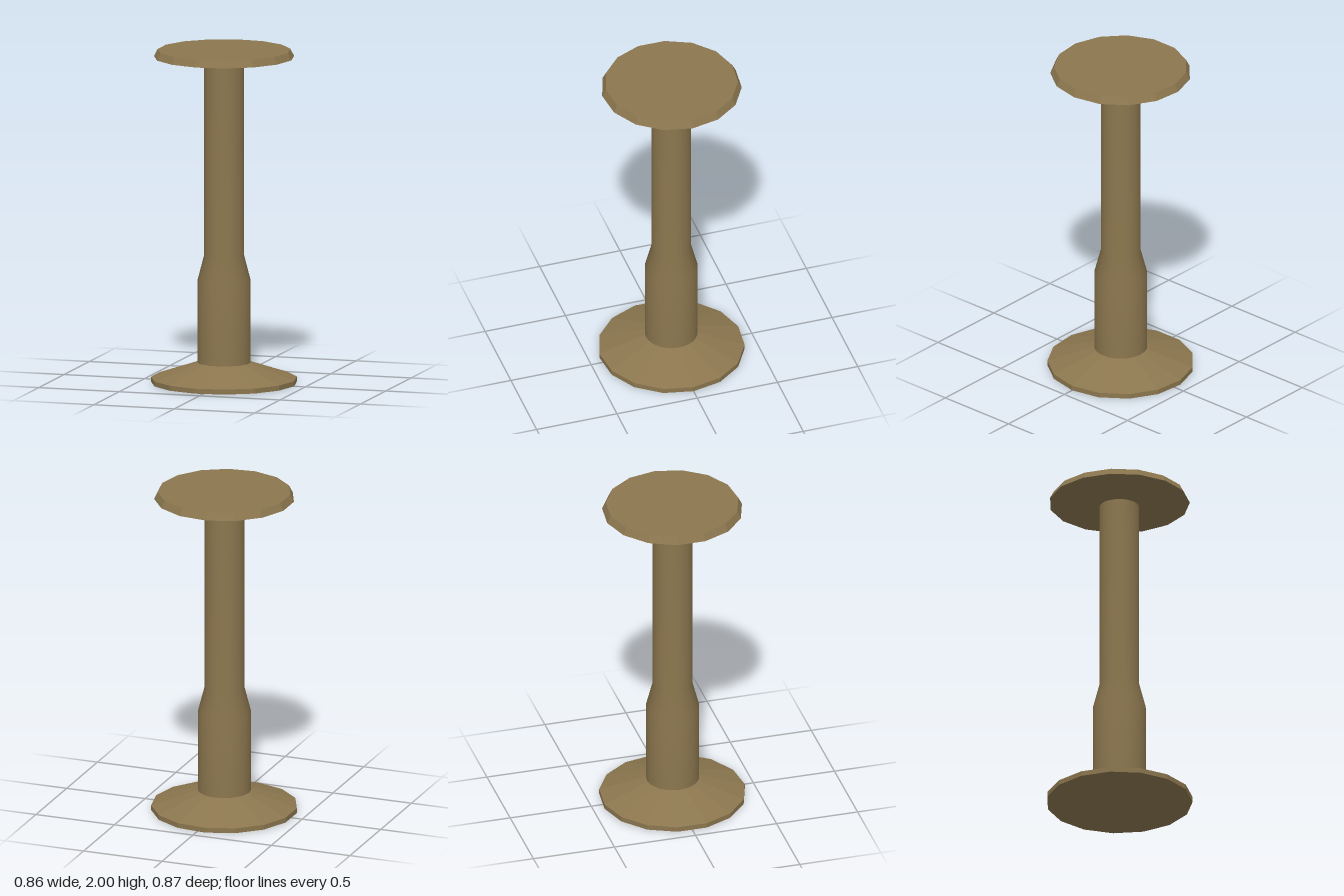
import * as THREE from 'three';

const v = (pts) => pts.map(([r, y]) => new THREE.Vector2(r, y));

export function createModel() {
  const group = new THREE.Group();
  const color = 0x8b764e;
  const faceted = new THREE.MeshStandardMaterial({ color, flatShading: true });
  const smooth = new THREE.MeshStandardMaterial({ color });

  // Turned part with one corner pointing to +x
  function turned(name, profile, sides, material) {
    const geometry = new THREE.LatheGeometry(v(profile), sides, Math.PI / 2);
    const mesh = new THREE.Mesh(geometry, material);
    mesh.name = name;
    mesh.position.x = -0.005; // centres the odd-sided discs by their extents
    group.add(mesh);
  }

  // Wide foot: short rim and shallow cone
  turned('base', [[0, 0], [0.435, 0], [0.435, 0.03], [0.155, 0.125], [0, 0.125]], 15, faceted);

  // Stepped column: thick sleeve, taper, slim shaft
  turned('column', [[0.157, 0.12], [0.157, 0.62], [0.118, 0.77], [0.118, 1.94]], 32, smooth);

  // Round top with bevelled rim and sloping underside
  turned('top', [[0, 1.93], [0.118, 1.93], [0.418, 1.957], [0.396, 2], [0, 2]], 15, faceted);

  return group;
}
